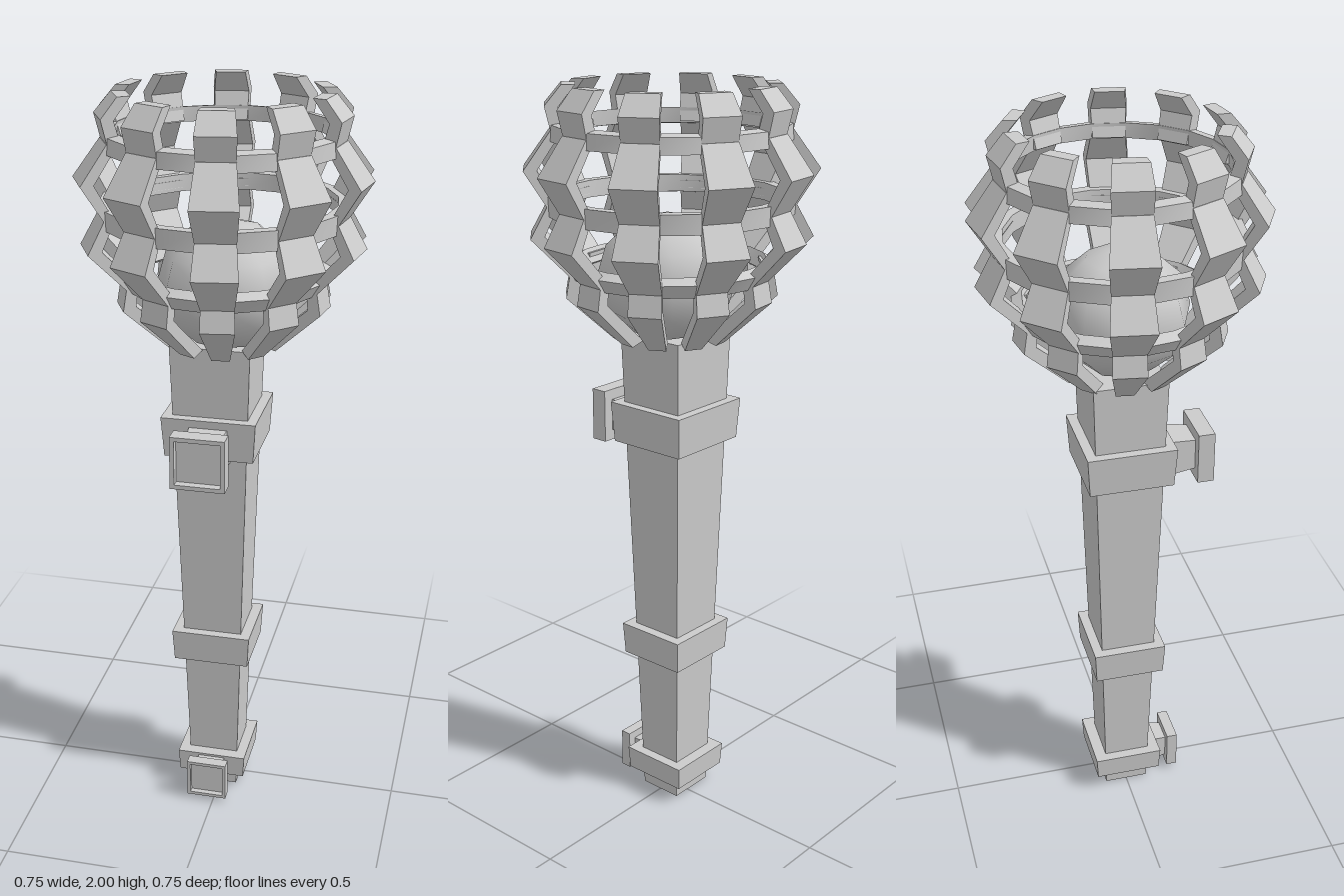
import * as THREE from 'three';
import { toCreasedNormals } from 'three/addons/utils/BufferGeometryUtils.js';

const smooth = new THREE.MeshStandardMaterial({ color: 0xcccccc });
const flat = new THREE.MeshStandardMaterial({ color: 0xcccccc, flatShading: true });
const STEP = Math.PI / 10; // the cage has 20 facets around
const CX = -0.018; // handle axis

function add(parent, name, geometry, material = flat) {
  const mesh = new THREE.Mesh(geometry, material);
  mesh.name = name;
  parent.add(mesh);
  return mesh;
}

// Square post between y0 and y1 with half widths h0 (bottom) and h1 (top)
function post(parent, name, y0, y1, h0, h1, depth = 1) {
  const g = new THREE.CylinderGeometry(h1 * Math.SQRT2, h0 * Math.SQRT2, y1 - y0, 4);
  g.rotateY(Math.PI / 4).scale(1, 1, depth).translate(CX, (y0 + y1) / 2, 0);
  return add(parent, name, g);
}

// Bend an extruded (radius, y) profile around the y axis over a number of facets
function sweep(points, start, facets) {
  const shape = new THREE.Shape(points.map(([r, y]) => new THREE.Vector2(r, y)));
  const g = new THREE.ExtrudeGeometry(shape, { depth: facets, steps: facets, bevelEnabled: false });
  const p = g.attributes.position;
  for (let i = 0; i < p.count; i++) {
    const r = p.getX(i), a = (start + p.getZ(i)) * STEP;
    p.setXYZ(i, r * Math.cos(a), p.getY(i), r * Math.sin(a));
  }
  return toCreasedNormals(g, 0.5);
}

// Square plate with a recessed face, on a flaring neck
function bracket(parent, name, half, y, zBack, zFront, zCollar) {
  const group = new THREE.Group();
  group.name = name;
  group.position.set(CX, y, 0);
  parent.add(group);
  const rim = half * 0.16, depth = zFront - zBack;
  const square = (h) => [[-h, -h], [h, -h], [h, h], [-h, h]].map(([x, v]) => new THREE.Vector2(x, v));
  const frame = new THREE.Shape(square(half));
  frame.holes.push(new THREE.Path(square(half - rim)));
  const frameGeo = new THREE.ExtrudeGeometry(frame, { depth, bevelEnabled: false });
  add(group, 'bracketFrame', frameGeo.translate(0, 0, zBack));
  const panel = new THREE.BoxGeometry(2 * (half - rim), 2 * (half - rim), depth * 0.5);
  add(group, 'bracketPanel', panel.translate(0, 0, zBack + depth * 0.25));
  const length = zBack - zCollar + 0.02;
  const neck = new THREE.CylinderGeometry(half * 0.85, half * 1.05, length, 4);
  neck.rotateY(Math.PI / 4).rotateX(Math.PI / 2).translate(0, 0, zBack - length / 2);
  neck.scale(1, 1, 1);
  add(group, 'bracketNeck', neck);
}

export function createModel() {
  const model = new THREE.Group();
  model.name = 'torch';

  // Tapered handle and its collars
  const handle = new THREE.Group();
  handle.name = 'handle';
  model.add(handle);
  post(handle, 'shaft', 0, 1.365, 0.066, 0.106, 0.93);
  post(handle, 'bottomCollar', 0.05, 0.115, 0.093, 0.097);
  post(handle, 'middleCollar', 0.43, 0.52, 0.104, 0.109, 0.93);
  post(handle, 'topCollar', 1.065, 1.175, 0.119, 0.126, 0.95);
  bracket(handle, 'topBracket', 0.072, 1.103, 0.193, 0.238, 0.11);
  bracket(handle, 'bottomBracket', 0.056, 0.07, 0.13, 0.16, 0.09);

  // Basket: full rings joined by rows of bent bars
  const basket = new THREE.Group();
  basket.name = 'basket';
  model.add(basket);
  const rings = [
    [[0.275, 1.87], [0.305, 1.865], [0.302, 1.905], [0.272, 1.91]],
    [[0.285, 1.685], [0.313, 1.68], [0.315, 1.73], [0.286, 1.73]],
    [[0.225, 1.53], [0.25, 1.515], [0.272, 1.55], [0.245, 1.565]],
  ];
  rings.forEach((profile) => add(basket, 'ring', sweep(profile, 0, 20), smooth));

  const bars = {
    rimBar: [[0.265, 1.875], [0.3, 1.875], [0.318, 1.95], [0.275, 2], [0.24, 2], [0.285, 1.945]],
    upperBar: [[0.285, 1.695], [0.312, 1.695], [0.375, 1.795], [0.305, 1.89], [0.275, 1.89], [0.34, 1.795]],
    lowerBar: [[0.235, 1.535], [0.265, 1.525], [0.362, 1.625], [0.312, 1.715], [0.285, 1.715], [0.325, 1.63]],
    footBar: [[0.11, 1.365], [0.15, 1.355], [0.275, 1.47], [0.26, 1.555], [0.232, 1.555], [0.24, 1.48]],
  };
  for (const [name, profile] of Object.entries(bars)) {
    for (let i = 0; i < 10; i++) add(basket, name, sweep(profile, i * 2, 1), smooth);
  }

  // Rounded core resting in the bottom of the basket
  const core = add(basket, 'core', new THREE.SphereGeometry(0.183, 8, 6), smooth);
  core.scale.y = 0.91;
  core.position.set(0.008, 1.515, 0.006);

  return model;
}
